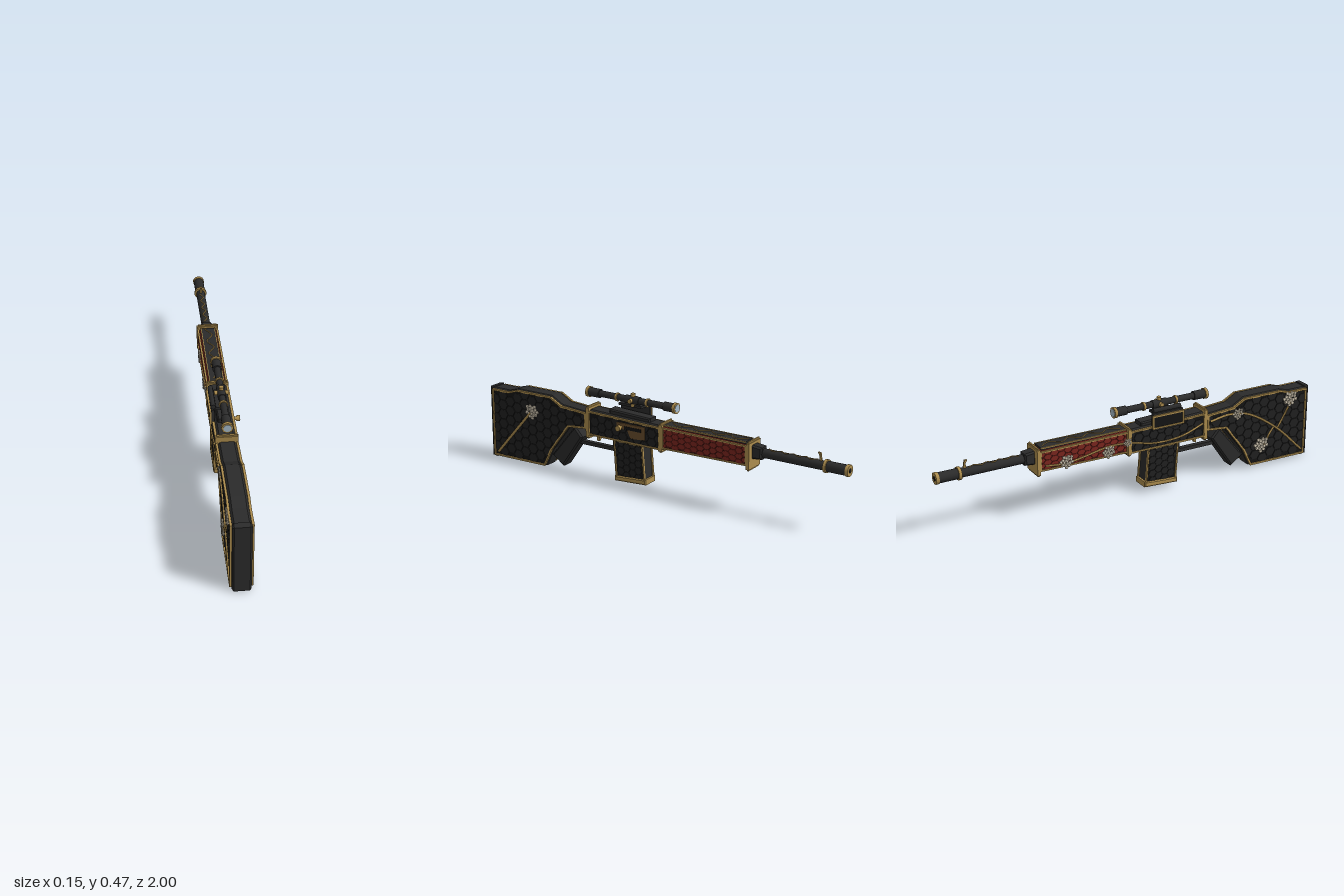
import * as THREE from 'three';
import { mergeGeometries } from 'three/addons/utils/BufferGeometryUtils.js';

const mat = (name, color) => Object.assign(new THREE.MeshStandardMaterial({ color }), { name });
const charcoal = mat('charcoal', 0x2b2b2b), black = mat('black', 0x151515), tile = mat('tile black', 0x212121);
const gold = mat('antique gold', 0xad8d4e), red = mat('red scale', 0x7c261f), darkRed = mat('dark red', 0x421411);
const lensBlue = mat('lens blue', 0xa6bac9), petal = mat('pale petal', 0xc9bfab), bronze = mat('bronze', 0x6a4e2c);

export function createModel() {
  const root = new THREE.Group();
  root.name = 'ornateRifle';
  root.position.x = -0.01;

  const add = (name, geos, material) => {
    const list = [].concat(geos).map((g) => (g.index ? g.toNonIndexed() : g));
    const mesh = new THREE.Mesh(list.length > 1 ? mergeGeometries(list) : list[0], material);
    mesh.name = name;
    root.add(mesh);
  };
  // Box given by its ranges
  const box = (x0, x1, y0, y1, z0, z1) =>
    new THREE.BoxGeometry(x1 - x0, y1 - y0, z1 - z0).translate((x0 + x1) / 2, (y0 + y1) / 2, (z0 + z1) / 2);
  // Cylinder along z
  const rod = (r, z0, z1, y, x = 0, seg = 14) =>
    new THREE.CylinderGeometry(r, r, z1 - z0, seg).rotateX(Math.PI / 2).translate(x, y, (z0 + z1) / 2);
  // Side outline [z, y] extruded across x with chamfered edges
  const slab = (pts, half, bevel = 0) => {
    const shape = new THREE.Shape(pts.map(([z, y]) => new THREE.Vector2(-z, y)));
    return new THREE.ExtrudeGeometry(shape, {
      depth: 2 * (half - bevel), bevelEnabled: bevel > 0, bevelThickness: bevel, bevelSize: bevel,
      bevelOffset: -bevel, bevelSegments: 1,
    }).translate(0, 0, bevel - half).rotateY(Math.PI / 2);
  };
  // Strip of boxes following an outline at one side
  const trim = (pts, x, w, depth, closed = true) => {
    const out = [];
    for (let i = 0; i < pts.length - (closed ? 0 : 1); i++) {
      const [z0, y0] = pts[i], [z1, y1] = pts[(i + 1) % pts.length];
      const len = Math.hypot(z1 - z0, y1 - y0);
      out.push(new THREE.BoxGeometry(depth, w, len + w * 0.7)
        .rotateX(-Math.atan2(y1 - y0, z1 - z0)).translate(x, (y0 + y1) / 2, (z0 + z1) / 2));
    }
    return out;
  };
  const inside = (pts, z, y) => {
    let hit = false;
    for (let i = 0, j = pts.length - 1; i < pts.length; j = i++) {
      const [a, b] = pts[i], [c, d] = pts[j];
      if ((b > y) !== (d > y) && z < ((c - a) * (y - b)) / (d - b) + a) hit = !hit;
    }
    return hit;
  };
  // Hexagonal tiles filling an outline on one side
  const hexTiles = (pts, face, s, w, h) => {
    const out = [], zs = pts.map((p) => p[0]), ys = pts.map((p) => p[1]);
    let row = 0;
    for (let y = Math.min(...ys); y < Math.max(...ys) + h; y += h / 2, row++) {
      for (let z = Math.min(...zs) + (row % 2) * w * 0.75; z < Math.max(...zs); z += w * 1.5) {
        if (!inside(pts, z, y)) continue;
        const corners = [];
        for (let k = 0; k < 6; k++) {
          const a = (k * Math.PI) / 3;
          let t = 0.88;
          const at = () => [z + Math.cos(a) * t * w / 2, y + Math.sin(a) * t * h * 0.577];
          while (t > 0.1 && !inside(pts, ...at())) t -= 0.1;
          corners.push(at());
        }
        out.push(slab(corners, 0.002).translate(s * (face + 0.001), 0, 0));
      }
    }
    return out;
  };
  const vine = (pts, r, n = 40) => new THREE.TubeGeometry(
    new THREE.CatmullRomCurve3(pts.map((p) => new THREE.Vector3(...p))), n, r, 5);
  // Cluster of small blossoms on one side
  const blossoms = (x, y, z, size) => {
    const out = [];
    for (let i = 0; i < 18; i++) {
      const a = i * 2.4, r = size * Math.sqrt(i / 18);
      out.push(new THREE.IcosahedronGeometry(size * 0.28).scale(0.6, 1, 1).rotateX(a)
        .translate(x, y + Math.sin(a) * r, z + Math.cos(a) * r));
    }
    return out;
  };

  // Stock with butt pad
  const stock = [[0.98, 0.008], [0.652, 0.012], [0.605, 0.11], [0.5, 0.245], [0.39, 0.255], [0.39, 0.338],
    [0.545, 0.35], [0.61, 0.386], [0.82, 0.386], [0.875, 0.37], [0.98, 0.37]];
  const panel = [[0.975, 0.016], [0.657, 0.019], [0.612, 0.11], [0.505, 0.25], [0.4, 0.26], [0.4, 0.332],
    [0.545, 0.343], [0.61, 0.378], [0.82, 0.378], [0.875, 0.361], [0.975, 0.361]];
  add('stock', slab(stock, 0.044, 0.012), charcoal);
  add('buttPad', slab([[0.972, 0], [1, 0.004], [1, 0.372], [0.972, 0.376]], 0.043, 0.008), charcoal);
  add('gripPad', slab([[0.475, 0.25], [0.43, 0.2], [0.55, 0.028], [0.619, 0.075]], 0.036, 0.008), charcoal);

  // Receiver, top rail and collars
  const receiver = [[0.378, 0.232], [-0.03, 0.232], [-0.03, 0.335], [0.378, 0.345]];
  add('receiver', slab([[0.39, 0.225], [-0.04, 0.225], [-0.04, 0.345], [0.39, 0.355]], 0.044, 0.012), charcoal);
  add('topRail', slab([[0.27, 0.34], [0.035, 0.34], [0.035, 0.365], [0.27, 0.374]], 0.03, 0.006), charcoal);
  const collar = (z, y0, y1, t) => [
    box(-0.053, 0.053, y0, y1, z - t / 2, z + t / 2), box(-0.047, 0.047, y0 - 0.007, y1 + 0.007, z - t / 4, z + t / 4)];
  add('collars', [...collar(0.385, 0.215, 0.366, 0.018), ...collar(-0.037, 0.222, 0.352, 0.018),
    ...collar(-0.512, 0.224, 0.35, 0.016)], gold);

  // Handguard
  const guard = [[-0.05, 0.24], [-0.5, 0.245], [-0.5, 0.335], [-0.05, 0.338]];
  add('handguard', slab([[-0.04, 0.232], [-0.505, 0.238], [-0.505, 0.34], [-0.04, 0.345]], 0.044, 0.012), red);
  add('handguardTop', box(-0.033, 0.033, 0.335, 0.35, -0.49, -0.045), charcoal);

  // Magazine
  const mag = [[0.234, 0.225], [0.073, 0.225], [0.06, 0.048], [0.222, 0.04]];
  add('magazine', slab(mag, 0.036, 0.006), charcoal);
  add('magazineBase', slab([[0.232, 0.02], [0.05, 0.03], [0.05, 0.058], [0.232, 0.046]], 0.045, 0.005), gold);

  // Trigger and guard bar
  add('triggerGuard', [box(-0.012, 0.012, 0.158, 0.176, 0.25, 0.47), box(-0.012, 0.012, 0.158, 0.23, 0.244, 0.262)], charcoal);
  add('trigger', slab([[0.362, 0.23], [0.34, 0.23], [0.347, 0.19], [0.358, 0.19]], 0.008), gold);

  // Panels, tiles and gold edging on both sides
  for (const s of [-1, 1]) {
    const panels = [[panel, 0.046, 0.062, 0.05, 0.009], [receiver, 0.046, 0.055, 0.046, 0.008],
      [mag, 0.037, 0.045, 0.036, 0.007]];
    for (const [pts, face, w, h, edge] of panels) {
      add('sidePanel', slab(pts, 0.002).translate(s * (face - 0.002), 0, 0), black);
      add('hexTiles', hexTiles(pts, face, s, w, h), tile);
      add('goldEdging', trim(pts, s * (face + 0.001), edge, 0.011), gold);
    }
    add('handguardPanel', slab(guard, 0.002).translate(s * 0.044, 0, 0), darkRed);
    add('redScales', hexTiles(guard, 0.046, s, 0.046, 0.027), red);
    add('handguardEdging', [...trim(guard, s * 0.047, 0.007, 0.01),
      ...trim([[-0.05, 0.349], [-0.49, 0.349]], s * 0.034, 0.005, 0.005, false)], gold);
  }

  // Barrel, muzzle and front sight
  const by = 0.302;
  add('barrelBlock', slab([[-0.515, 0.27], [-0.57, 0.275], [-0.57, 0.332], [-0.515, 0.338]], 0.028, 0.008), charcoal);
  add('barrel', rod(0.022, -0.9, -0.56, by), charcoal);
  add('muzzle', rod(0.025, -0.99, -0.88, by), charcoal);
  add('muzzleRings', [rod(0.031, -0.892, -0.878, by), rod(0.028, -1, -0.985, by)], gold);
  add('bore', rod(0.012, -1.001, -0.99, by), black);
  add('frontSight', slab([[-0.863, 0.315], [-0.85, 0.315], [-0.85, 0.345], [-0.842, 0.36], [-0.855, 0.36]], 0.005), gold);

  // Wavy vines along the barrel and handguard top
  const wave = (z0, z1, y, amp) => {
    const pts = [];
    for (let i = 0; i <= 8; i++) pts.push([(i % 2 ? amp : -amp), y, z0 + ((z1 - z0) * i) / 8]);
    return vine(pts, 0.003, 48);
  };
  add('topVines', [wave(-0.84, -0.59, by + 0.021, 0.008), wave(-0.48, -0.07, 0.351, 0.015)], gold);

  // Scope
  const sy = 0.432;
  add('scopeTube', [rod(0.016, -0.06, 0.37, sy), rod(0.022, 0.34, 0.408, sy), rod(0.022, -0.09, -0.03, sy),
    rod(0.02, 0.11, 0.19, sy)], charcoal);
  add('scopeRings', [
    ...[0.414, -0.085].map((z) => rod(0.028, z - 0.014, z, sy, 0, 8)),
    ...[0.065, 0.24].map((z) => rod(0.021, z - 0.005, z + 0.005, sy))], gold);
  add('scopeTurrets', [new THREE.CylinderGeometry(0.011, 0.011, 0.066, 10).translate(0, sy, 0.15),
    new THREE.CylinderGeometry(0.011, 0.011, 0.066, 10).rotateZ(Math.PI / 2).translate(0, sy, 0.15)], gold);
  add('lenses', [rod(0.019, 0.414, 0.416, sy), rod(0.019, -0.101, -0.099, sy)], lensBlue);

  // Side mount with framed plate
  add('mountArm', [box(-0.056, 0.005, 0.396, 0.408, 0.1, 0.23), box(-0.056, -0.042, 0.32, 0.408, 0.085, 0.25),
    rod(0.012, 0.09, 0.24, 0.42, -0.046, 8)], charcoal);
  add('mountPlate', box(-0.061, -0.055, 0.335, 0.395, 0.085, 0.25), black);
  add('mountFrame', trim([[0.085, 0.335], [0.25, 0.335], [0.25, 0.395], [0.085, 0.395]], -0.06, 0.008, 0.01), gold);

  // Ejection port and bolt handle
  add('ejectionPort', slab([[0.21, 0.295], [0.15, 0.295], [0.13, 0.255], [0.05, 0.26], [0.05, 0.325], [0.21, 0.325]], 0.003)
    .translate(0.05, 0, 0), bronze);
  const across = (r, x0, x1) => new THREE.CylinderGeometry(r, r, x1 - x0, 10).rotateZ(Math.PI / 2)
    .translate((x0 + x1) / 2, 0.304, 0.185);
  add('boltHandle', [across(0.009, 0.04, 0.07), across(0.014, 0.066, 0.083)], gold);
  add('chamber', box(0.05, 0.055, 0.296, 0.312, 0.07, 0.165), black);

  // Floral ornament on one panel of the stock
  add('stockStem', vine([[0.05, 0.035, 0.95], [0.05, 0.155, 0.845], [0.05, 0.28, 0.735]], 0.007), gold);
  add('stockBlossom', blossoms(0.05, 0.285, 0.73, 0.036), petal);

  // Flowing vines and blossoms on the opposite side
  const x = -0.051;
  add('sideVines', [
    vine([[x, 0.3, 0.41], [x, 0.315, 0.52], [x, 0.295, 0.63], [x, 0.19, 0.8], [x, 0.04, 0.96]], 0.006),
    vine([[x, 0.32, 0.89], [x, 0.25, 0.85], [x, 0.185, 0.81]], 0.005),
    vine([[x, 0.1, 0.73], [x, 0.16, 0.76], [x, 0.2, 0.79]], 0.005),
    vine([[x, 0.3, 0.37], [x, 0.26, 0.25], [x, 0.255, 0.1], [x, 0.285, -0.04],
      [x, 0.29, -0.15], [x, 0.27, -0.27], [x, 0.255, -0.37], [x, 0.265, -0.48]], 0.005, 60)], gold);
  add('sideBlossoms', [[0.33, 0.88, 0.038], [0.31, 0.57, 0.028], [0.115, 0.715, 0.038], [0.265, -0.37, 0.032],
    [0.265, -0.15, 0.03], [0.29, -0.05, 0.02]].flatMap(([y, z, r]) => blossoms(x - 0.003, y, z, r)), petal);

  return root;
}
